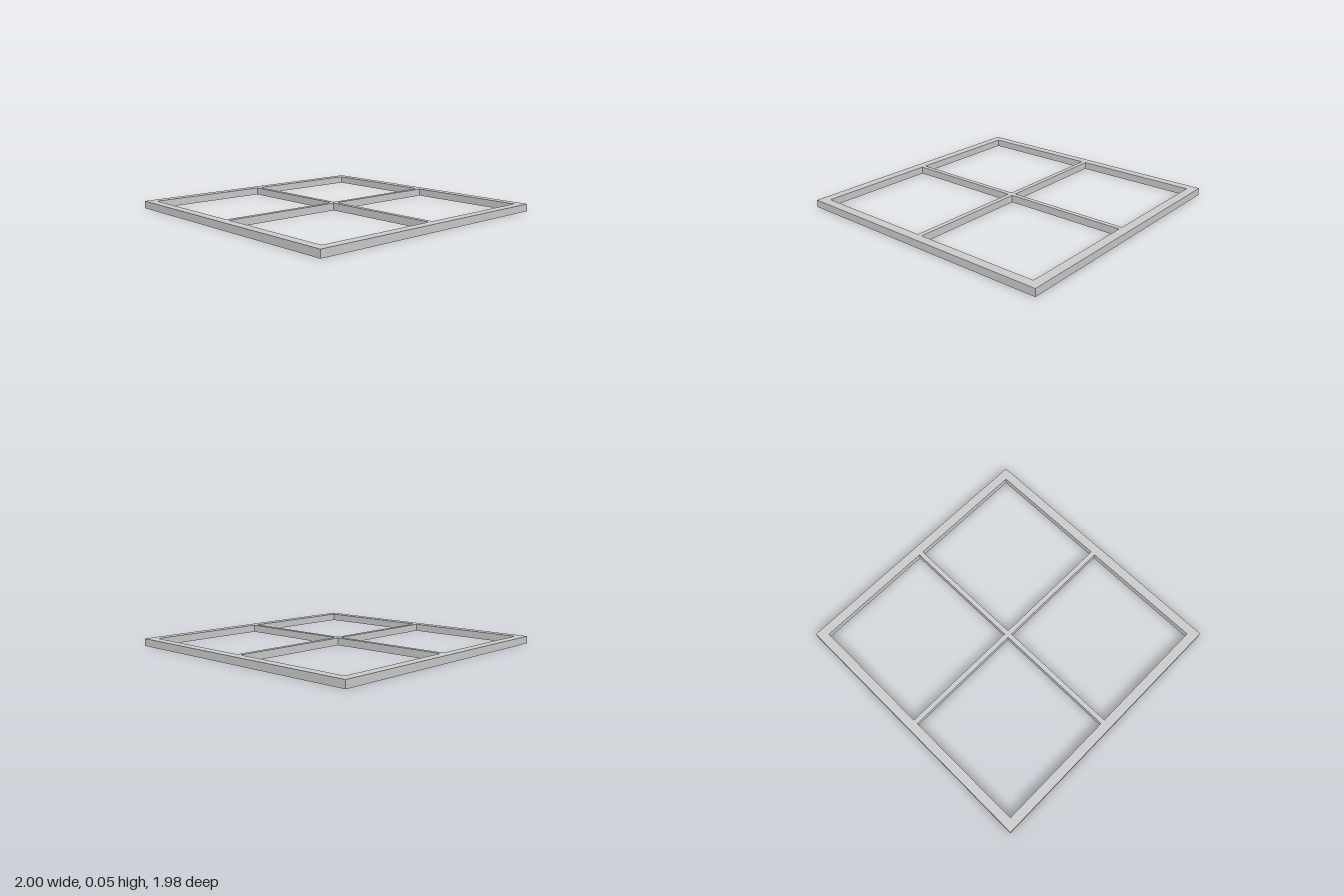
import * as THREE from 'three';

const HALF_X = 1, HALF_Z = 0.99; // outer half sizes
const RAIL = 0.068;              // width of the outer frame
const BAR = 0.018;               // half width of the crossing bars
const HEIGHT = 0.054;

const rectangle = (x, z) => [[-x, -z], [x, -z], [x, z], [-x, z]].map(([a, b]) => new THREE.Vector2(a, b));

// Extrudes a plan outline upward from y = 0
function slab(name, shape, material) {
  const geometry = new THREE.ExtrudeGeometry(shape, { depth: HEIGHT, bevelEnabled: false });
  geometry.rotateX(-Math.PI / 2);
  const mesh = new THREE.Mesh(geometry, material);
  mesh.name = name;
  return mesh;
}

export function createModel() {
  const model = new THREE.Group();
  model.name = 'windowFrame';
  const material = new THREE.MeshStandardMaterial({ color: 0xcccccc });
  const innerX = HALF_X - RAIL, innerZ = HALF_Z - RAIL;

  // Outer frame with one large opening
  const frame = new THREE.Shape(rectangle(HALF_X, HALF_Z));
  frame.holes.push(new THREE.Path(rectangle(innerX, innerZ).reverse()));
  model.add(slab('outerFrame', frame, material));

  // Cross of bars, flush with the frame, dividing the opening in four
  const cross = new THREE.Shape([
    [BAR, BAR], [BAR, innerZ], [-BAR, innerZ], [-BAR, BAR],
    [-innerX, BAR], [-innerX, -BAR], [-BAR, -BAR], [-BAR, -innerZ],
    [BAR, -innerZ], [BAR, -BAR], [innerX, -BAR], [innerX, BAR],
  ].map(([x, z]) => new THREE.Vector2(x, z)));
  model.add(slab('crossBars', cross, material));

  return model;
}
